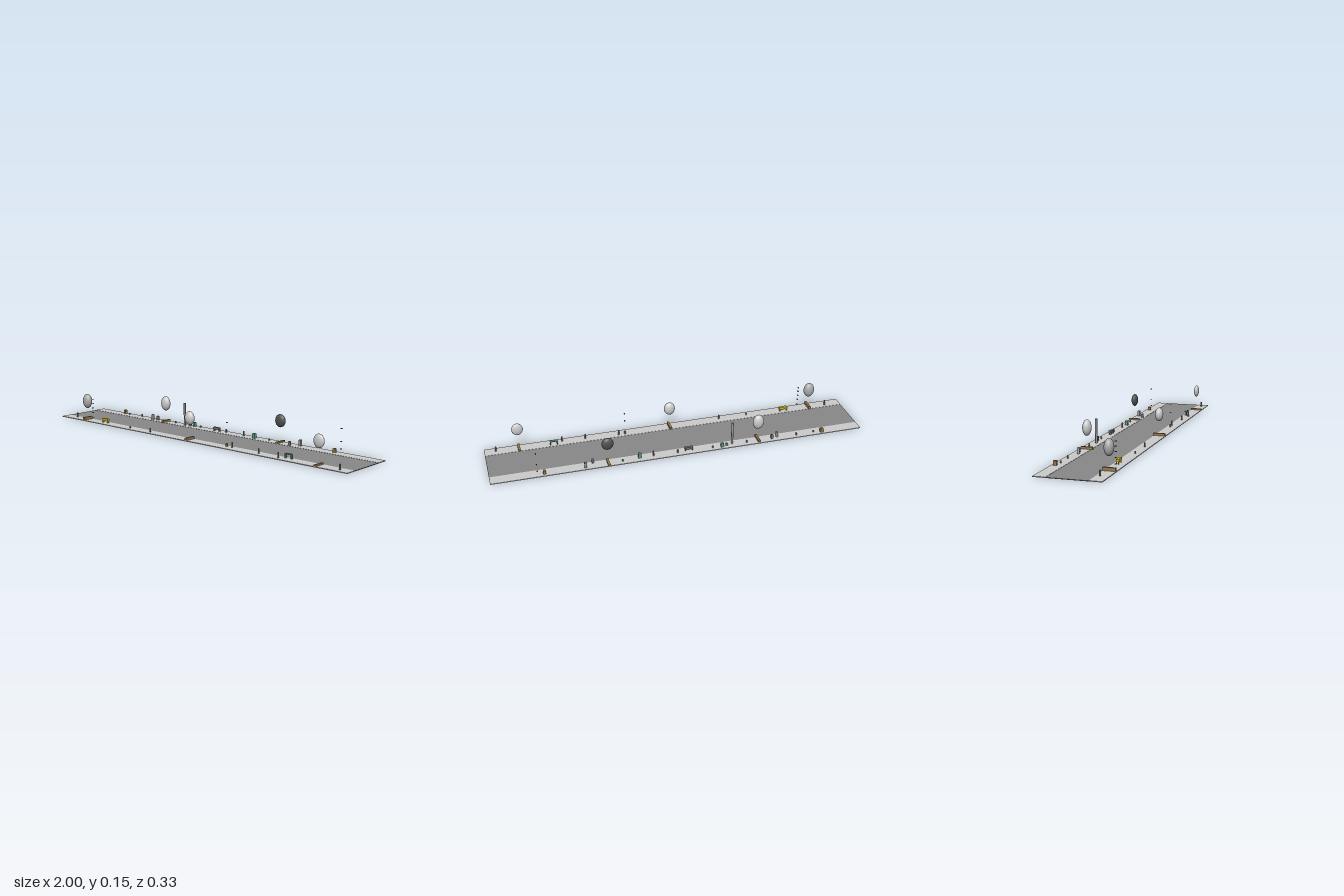
import * as THREE from 'three';

const BASE = 0.004; // pavement level
const materials = new Map();
function mat(color = 0xcccccc) {
  if (!materials.has(color)) materials.set(color, new THREE.MeshStandardMaterial({ color }));
  return materials.get(color);
}
const DARK = 0x666666, WOOD = 0x9a7a48, GREEN = 0x5fa083, YELLOW = 0xd0bc20;

export function createModel() {
  const root = new THREE.Group();

  function add(name, geometry, x, y, z, color, parent = root) {
    const mesh = new THREE.Mesh(geometry, mat(color));
    mesh.name = name;
    mesh.position.set(x, y, z);
    parent.add(mesh);
    return mesh;
  }
  // box given by its bottom height
  function box(name, x, y, z, w, h, d, color, parent) {
    return add(name, new THREE.BoxGeometry(w, h, d), x, y + h / 2, z, color, parent);
  }
  function post(name, x, z, r, h, color, parent) {
    return add(name, new THREE.CylinderGeometry(r, r, h, 12), x, BASE + h / 2, z, color, parent);
  }
  function group(name) {
    const g = new THREE.Group();
    g.name = name;
    root.add(g);
    return g;
  }

  // street
  box('road', 0, 0, 0, 2, 0.003, 0.2, 0x888888);
  for (const s of [-1, 1]) {
    box(s > 0 ? 'frontPavement' : 'backPavement', 0, 0, s * 0.131, 2, BASE, 0.062);
  }

  // floating crowns, each above a beam lying across the pavement
  // x, y, z, radii x y z, colour, beam z, beam height
  const trees = [
    [-0.81, 0.112, 0.127, 0.03, 0.041, 0.023, 0xaaaaaa, 0.128, 0.016],
    [-0.42, 0.112, -0.122, 0.03, 0.041, 0.022, 0xcccccc, -0.122, 0.012],
    [0, 0.118, 0.127, 0.03, 0.036, 0.021, 0xcccccc, 0.128, 0.013],
    [0.395, 0.119, -0.131, 0.031, 0.034, 0.017, 0x505050, -0.133, 0.008],
    [0.82, 0.12, 0.13, 0.03, 0.034, 0.014, 0xcccccc, 0.13, 0.008],
  ];
  for (const [x, y, z, rx, ry, rz, color, bz, bh] of trees) {
    const tree = group('tree');
    add('crown', new THREE.SphereGeometry(1, 24, 16), x, y, z, color, tree).scale.set(rx, ry, rz);
    box('beam', x, BASE, bz, 0.012, bh, 0.063, WOOD, tree);
  }

  // tall pole
  post('pole', -0.275, -0.126, 0.006, 0.126, 0x999999);

  // bollards: x, z, height
  const bollards = [
    [-0.91, 0.12, 0.027], [-0.445, 0.135, 0.012], [-0.285, 0.135, 0.022], [0.155, -0.128, 0.027],
    [0.285, 0.12, 0.027], [0.465, 0.13, 0.025], [0.59, 0.137, 0.027], [0.94, 0.132, 0.027],
    [-0.735, -0.135, 0.01], [-0.635, -0.14, 0.015], [-0.355, -0.135, 0.012], [-0.165, -0.138, 0.01],
    [0.025, -0.135, 0.018], [0.32, -0.135, 0.01],
  ];
  for (const [x, z, h] of bollards) post('bollard', x, z, 0.004, h, 0x888888);

  // columns of small floating slabs: x, z, heights
  const columns = [
    [-0.75, 0.138, [0.022, 0.053, 0.08, 0.105, 0.128]],
    [0.25, 0.12, [0.085, 0.128]],
    [0.762, -0.141, [0.026, 0.064, 0.128]],
  ];
  for (const [x, z, heights] of columns) {
    const column = group('slabColumn');
    for (const y of heights) box('slab', x, y - 0.0015, z, 0.006, 0.003, 0.01, DARK, column);
  }

  // benches and tables on four legs
  function bench(name, x, z, w, d, h, thick, color) {
    const g = group(name);
    box('top', x, BASE + h - thick, z, w, thick, d, color, g);
    for (const sx of [-1, 1]) for (const sz of [-1, 1]) {
      box('leg', x + sx * (w / 2 - 0.003), BASE, z + sz * (d / 2 - 0.003), 0.004, h - thick, 0.004, color, g);
    }
  }
  bench('yellowBench', -0.66, 0.123, 0.045, 0.015, 0.024, 0.013, YELLOW);
  bench('greenTable', 0.637, 0.115, 0.042, 0.014, 0.024, 0.004, GREEN);
  bench('greyBench', -0.036, -0.128, 0.042, 0.014, 0.021, 0.012, 0x777777);

  // cabinets, bins and crates: name, x, z, width, height, depth, colour
  const boxes = [
    ['crate', -0.78, -0.143, 0.016, 0.022, 0.016, WOOD],
    ['cabinet', -0.528, -0.125, 0.011, 0.03, 0.011, 0xaaaaaa],
    ['bin', -0.497, -0.135, 0.011, 0.023, 0.012, 0x888888],
    ['cabinet', -0.215, -0.142, 0.015, 0.022, 0.014, GREEN],
    ['bin', -0.242, -0.135, 0.01, 0.012, 0.01, GREEN],
    ['greenCabinet', 0.228, -0.126, 0.016, 0.025, 0.016, GREEN],
    ['crate', 0.25, 0.12, 0.008, 0.016, 0.008, WOOD],
    ['bin', 0.472, -0.11, 0.01, 0.022, 0.01, 0x888888],
    ['cabinet', 0.515, -0.143, 0.012, 0.031, 0.012, 0x999999],
    ['crate', 0.725, -0.14, 0.014, 0.019, 0.016, WOOD],
  ];
  for (const [name, x, z, w, h, d, color] of boxes) box(name, x, BASE, z, w, h, d, color);

  return root;
}
